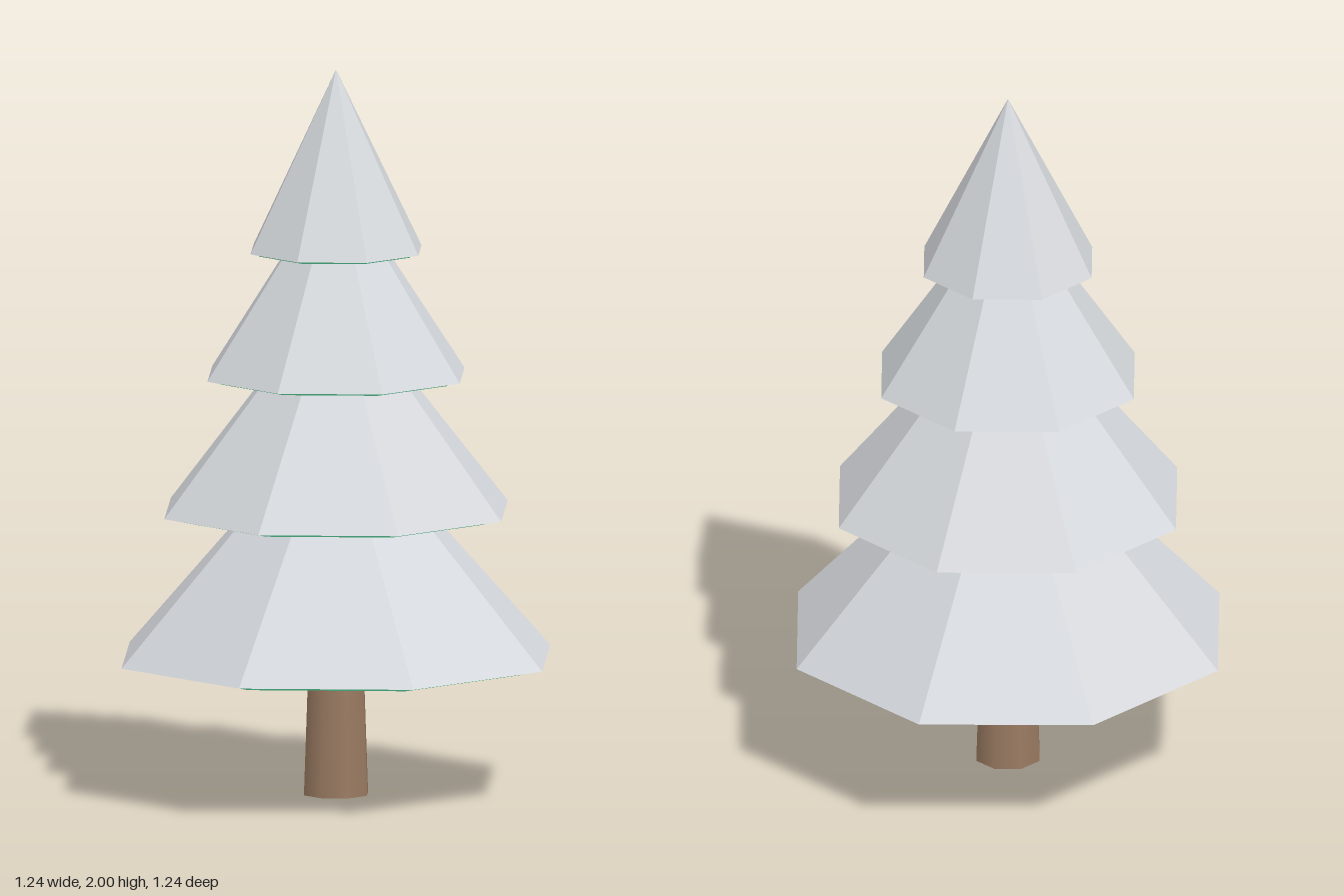
import * as THREE from 'three';

export function createModel() {
  const snow = new THREE.MeshStandardMaterial({ color: 0xd6d9dd, flatShading: true });
  snow.name = 'snow';
  const needles = new THREE.MeshStandardMaterial({ color: 0x3a8f68, flatShading: true, side: THREE.DoubleSide });
  needles.name = 'needle green';
  const bark = new THREE.MeshStandardMaterial({ color: 0x9a7b62 });
  bark.name = 'bark brown';

  const tree = new THREE.Group();
  tree.name = 'snowyTree';
  const SIDES = 8;

  const add = (parent, name, geometry, material, y) => {
    const mesh = new THREE.Mesh(geometry, material);
    mesh.name = name;
    mesh.position.y = y;
    parent.add(mesh);
  };

  // Slightly tapered trunk, running up into the lowest tier
  add(tree, 'trunk', new THREE.CylinderGeometry(0.078, 0.093, 0.42, SIDES), bark, 0.21);

  // Tiers from bottom to top: base height, radius, cone height
  const tiers = [
    [0.378, 0.622, 0.69],
    [0.784, 0.498, 0.625],
    [1.157, 0.373, 0.56],
    [1.502, 0.248, 0.498],
  ];
  tiers.forEach(([y, radius, height], i) => {
    const tier = new THREE.Group();
    tier.name = `tier${i + 1}`;
    tree.add(tier);

    // Closed snow cone
    add(tier, 'snowCap', new THREE.ConeGeometry(radius, height, SIDES), snow, y + height / 2);

    // Open skirt of needles peeping out below the snow
    const drop = 0.013 - i * 0.002;
    const skirt = height * 0.85;
    add(tier, 'needleSkirt', new THREE.ConeGeometry(radius * 0.9, skirt, SIDES, 1, true), needles, y - drop + skirt / 2);
  });

  return tree;
}
